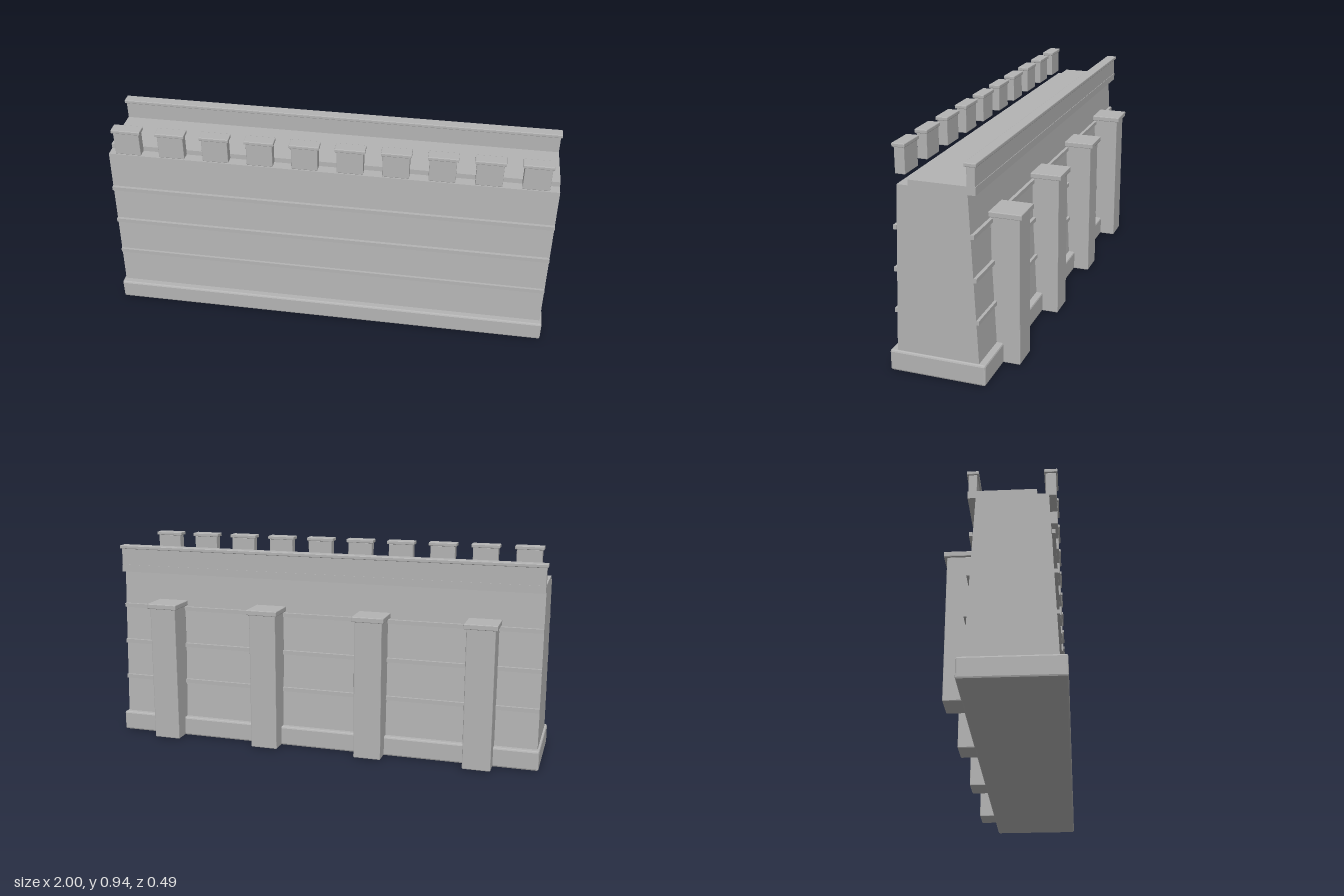
import * as THREE from 'three';
import { RoundedBoxGeometry } from 'three/addons/geometries/RoundedBoxGeometry.js';

export function createModel() {
  const root = new THREE.Group();
  root.name = 'battlementWall';
  const stone = new THREE.MeshStandardMaterial({ color: 0xb4b4b4 });
  stone.name = 'stone grey';

  const add = (name, geometry, parent = root) => {
    const mesh = new THREE.Mesh(geometry, stone);
    mesh.name = name;
    parent.add(mesh);
    return mesh;
  };

  // Block given by centre x, width and its y and z ranges; bevel chamfers its edges
  const block = (name, x, w, y0, y1, z0, z1, bevel = 0, parent = root) => {
    const h = y1 - y0, d = z1 - z0;
    const geometry = bevel
      ? new RoundedBoxGeometry(w, h, d, 1, bevel)
      : new THREE.BoxGeometry(w, h, d);
    if (bevel) geometry.computeVertexNormals();
    const mesh = add(name, geometry, parent);
    mesh.position.set(x, (y0 + y1) / 2, (z0 + z1) / 2);
    return mesh;
  };

  const group = (name) => {
    const g = new THREE.Group();
    g.name = name;
    root.add(g);
    return g;
  };

  // Tapered wall body, its end profile extruded along x
  const profile = new THREE.Shape([
    [-0.215, 0.08], [0.134, 0.08], [0.101, 0.79], [-0.185, 0.79],
  ].map(([x, y]) => new THREE.Vector2(x, y)));
  const body = new THREE.ExtrudeGeometry(profile, { depth: 1.98, bevelEnabled: false });
  body.translate(0, 0, -0.99);
  body.rotateY(Math.PI / 2);
  // the profile's x now runs along -z
  add('wallBody', body);

  // Plinth, walkway and rear parapet
  block('plinth', 0, 2, 0, 0.09, -0.162, 0.245, 0.008);
  block('walkway', 0, 1.98, 0.78, 0.813, -0.133, 0.139);
  block('rearParapet', 0, 1.98, 0.805, 0.892, -0.131, -0.097, 0.003);
  block('rearParapetCap', 0, 1.992, 0.889, 0.905, -0.138, -0.09, 0.003);

  // Horizontal string courses following the slope on both faces
  const courses = group('stringCourses');
  [0.265, 0.44, 0.615].forEach((y, i) => {
    const front = 0.218 - 0.005 * i, back = -0.137 + 0.0065 * i;
    block('frontCourse', 0, 1.98, y - 0.009, y + 0.009, front - 0.014, front, 0, courses);
    block('backCourse', 0, 1.98, y - 0.009, y + 0.009, back, back + 0.014, 0, courses);
  });

  // Front row of capped merlons
  const merlons = group('merlons');
  for (let i = 0; i < 10; i++) {
    const x = (i - 4.5) * 0.197;
    block('merlon', x, 0.115, 0.813, 0.922, 0.171, 0.214, 0.003, merlons);
    block('merlonCap', x, 0.13, 0.92, 0.936, 0.166, 0.22, 0.003, merlons);
  }

  // Rear buttresses with caps
  const buttresses = group('buttresses');
  for (let i = 0; i < 4; i++) {
    const x = (i - 1.5) * 0.4925;
    block('buttress', x, 0.125, 0.002, 0.633, -0.233, -0.113, 0.004, buttresses);
    block('buttressCap', x, 0.145, 0.63, 0.653, -0.245, -0.108, 0.003, buttresses);
  }

  return root;
}
